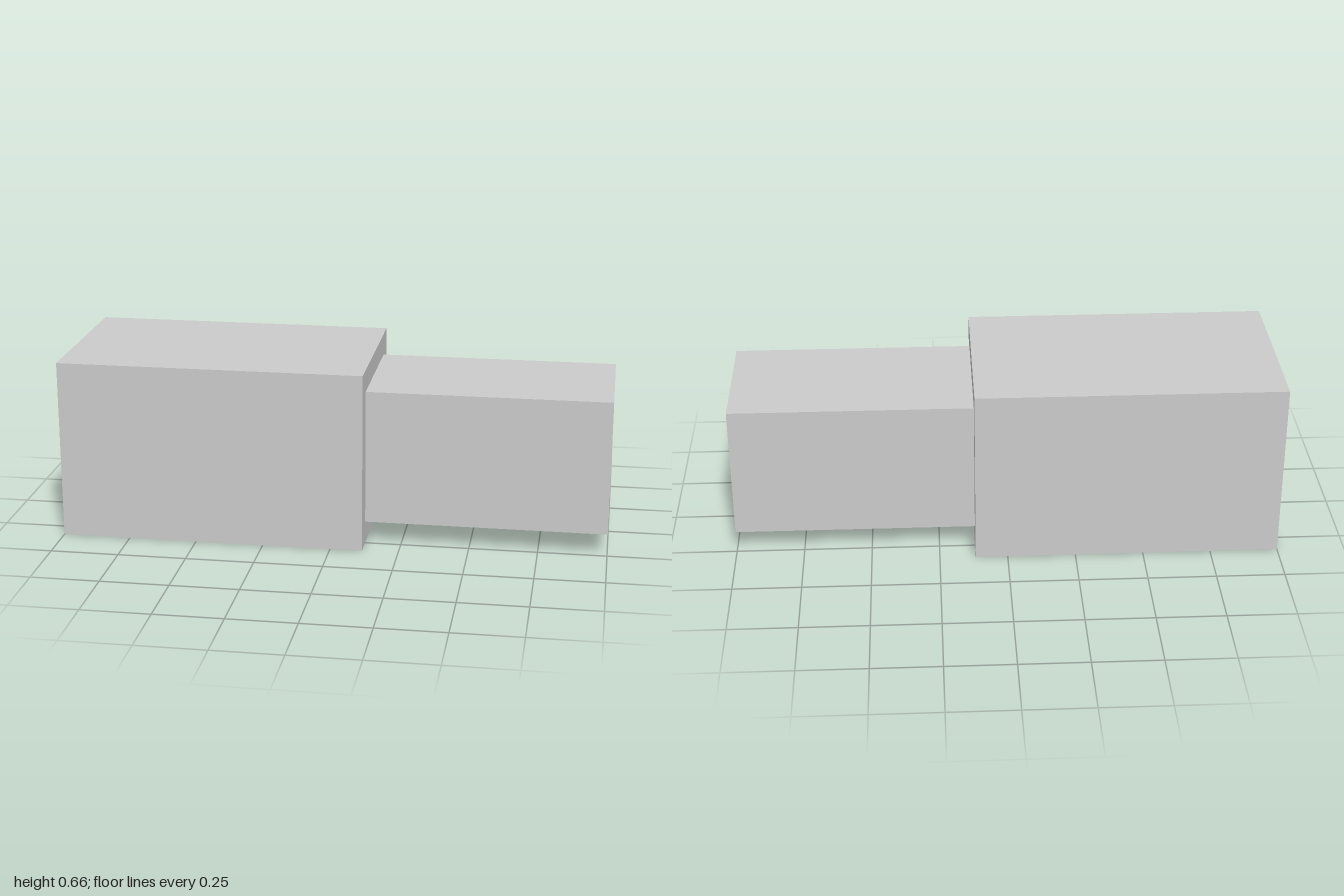
import * as THREE from 'three';

const material = new THREE.MeshStandardMaterial({ color: 0xcccccc, flatShading: true });
const AXIS_Y = 0.331; // shared centre line of both blocks

// Square block running along x from x0 to x1
function block(name, x0, x1, side) {
  const mesh = new THREE.Mesh(new THREE.BoxGeometry(x1 - x0, side, side), material);
  mesh.name = name;
  mesh.position.set((x0 + x1) / 2, AXIS_Y, 0);
  return mesh;
}

export function createModel() {
  const group = new THREE.Group();
  group.name = 'steppedBlock';
  group.add(
    block('outerBlock', -1, 0.118, 0.662),
    block('innerBlock', 0.118, 1, 0.497),
  );
  return group;
}
